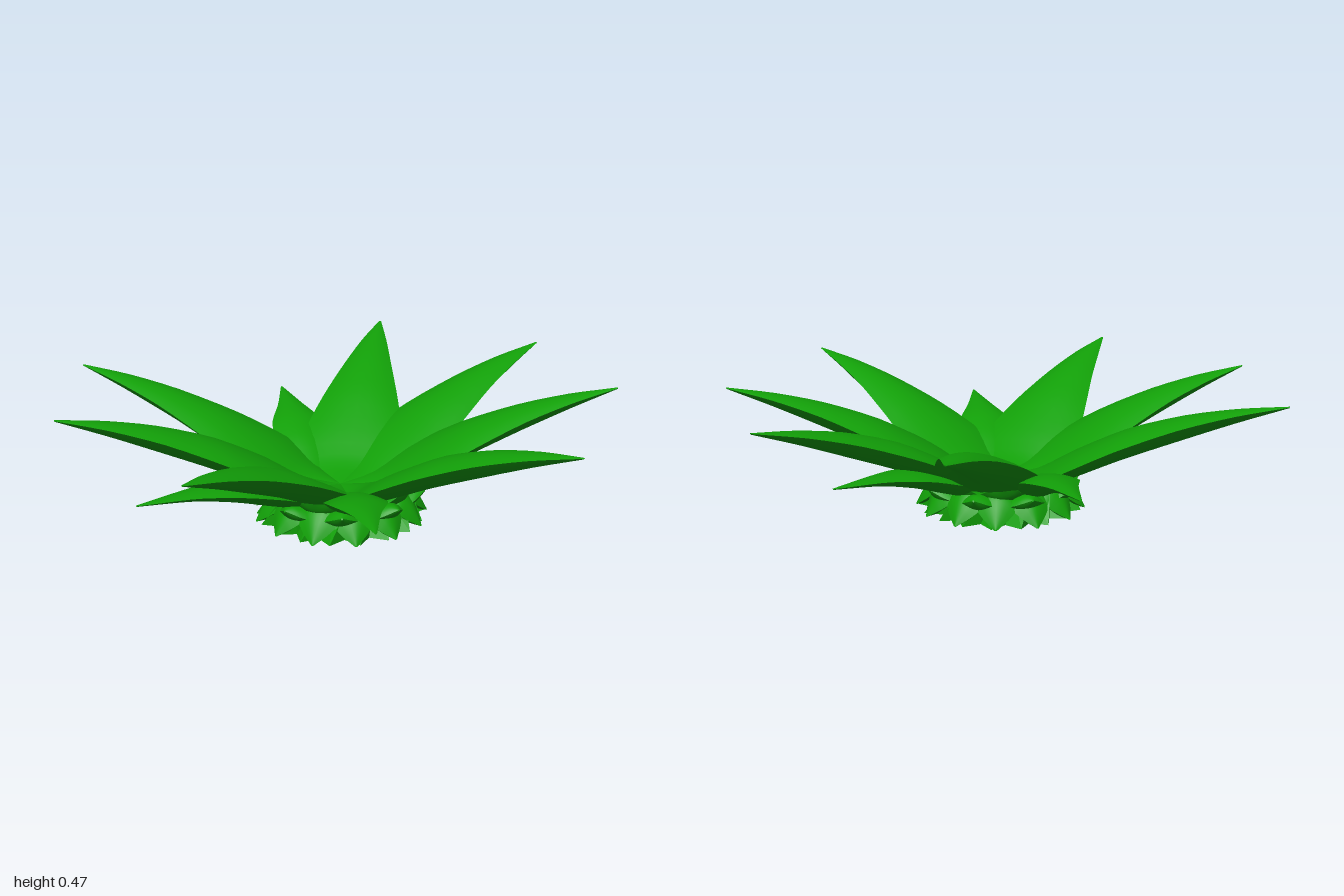
import * as THREE from 'three';

const green = new THREE.MeshStandardMaterial({ color: 0x12a008, side: THREE.DoubleSide });
const flatGreen = new THREE.MeshStandardMaterial({ color: 0x12a008, flatShading: true });

// Leaf along +x. Each station: [reach, half width, rim height, ridge height, keel height]
function leafGeometry(stations, steps = 18, across = 8) {
  const curve = (f) => new THREE.CatmullRomCurve3(stations.map(f), false, 'catmullrom', 0.4);
  const rim = curve((s) => new THREE.Vector3(s[0], s[1], s[2]));
  const spine = curve((s) => new THREE.Vector3(s[0], s[3], s[4]));
  const pos = [], index = [], row = across + 1;
  for (const under of [false, true]) {
    const start = pos.length / 3;
    for (let i = 0; i <= steps; i++) {
      const r = rim.getPoint(i / steps), s = spine.getPoint(i / steps);
      const mid = under ? s.z : s.y;
      for (let j = 0; j <= across; j++) {
        const u = (2 * j) / across - 1;
        pos.push(r.x, Math.max(0, mid + (r.z - mid) * u * u), r.y * u);
      }
    }
    for (let i = 0; i < steps; i++) {
      for (let j = 0; j < across; j++) {
        const a = start + i * row + j, b = a + 1, c = a + row, d = c + 1;
        if (under) index.push(a, c, b, b, c, d);
        else index.push(a, b, c, b, d, c);
      }
    }
  }
  const geo = new THREE.BufferGeometry();
  geo.setAttribute('position', new THREE.Float32BufferAttribute(pos, 3));
  geo.setIndex(index);
  geo.computeVertexNormals();
  return geo;
}

const LARGE = [
  [0, 0.005, 0.11, 0.112, 0.08], [0.13, 0.15, 0.115, 0.145, 0.08], [0.26, 0.196, 0.19, 0.225, 0.13],
  [0.45, 0.155, 0.29, 0.33, 0.225], [0.65, 0.1, 0.374, 0.402, 0.315],
  [0.83, 0.053, 0.43, 0.444, 0.395], [1, 0.005, 0.468, 0.47, 0.465],
];
const SMALL = [
  [0, 0.03, 0.07, 0.08, 0.04], [0.15, 0.08, 0.1, 0.125, 0.06], [0.3, 0.105, 0.165, 0.2, 0.115],
  [0.45, 0.1, 0.217, 0.242, 0.175], [0.6, 0.05, 0.243, 0.257, 0.22], [0.79, 0.004, 0.258, 0.26, 0.255],
];
const UPPER_STUB = [
  [0.14, 0.06, 0.07, 0.1, 0.04], [0.21, 0.1, 0.09, 0.13, 0.06],
  [0.265, 0.06, 0.13, 0.16, 0.1], [0.3, 0.004, 0.175, 0.178, 0.17],
];
const MIDDLE_STUB = [
  [0.16, 0.06, 0.05, 0.1, 0.03], [0.23, 0.09, 0.06, 0.11, 0.035],
  [0.28, 0.055, 0.08, 0.115, 0.06], [0.315, 0.004, 0.105, 0.108, 0.1],
];
const LOWER_STUB = [
  [0.18, 0.05, 0.09, 0.13, 0.06], [0.25, 0.08, 0.07, 0.115, 0.04],
  [0.29, 0.05, 0.035, 0.07, 0.01], [0.325, 0.004, 0, 0.005, 0],
];

export function createModel() {
  const model = new THREE.Group();
  model.name = 'succulentPlant';
  const plant = new THREE.Group();
  plant.name = 'rosette';
  plant.position.set(-0.018, 0, 0.075);
  model.add(plant);

  // Adds one leaf for each [angle in degrees, length scale, root x, root z]
  const addLeaves = (name, stations, list) => {
    const geo = leafGeometry(stations);
    for (const [deg, stretch = 1, x = 0, z = 0] of list) {
      const leaf = new THREE.Mesh(geo, green);
      leaf.name = name;
      leaf.rotation.y = THREE.MathUtils.degToRad(deg);
      leaf.scale.x = stretch;
      leaf.position.set(x, 0, z);
      plant.add(leaf);
    }
  };
  const ring = (count, offset) => Array.from({ length: count }, (_, i) => [offset + (i * 360) / count]);

  addLeaves('largeLeaf', LARGE,
    [[0, 1.02], [37.3, 1.065], [77.5, 1.06], [157.2, 1.065], [195, 1.02], [240, 1.02], [315, 1.02]]);
  addLeaves('smallLeaf', SMALL, [[44.8, 1.06], [99.8, 1, -0.076, 0.018], [275], [217.2, 1.1]]);
  addLeaves('upperStub', UPPER_STUB, ring(9, 8));
  addLeaves('middleStub', MIDDLE_STUB, ring(9, 28));
  addLeaves('lowerStub', LOWER_STUB, ring(13, 0));

  // Jagged, star-shaped base with points on every other corner
  const points = 18;
  const base = new THREE.CylinderGeometry(0.25, 0.3, 0.1, points * 2);
  const p = base.attributes.position;
  for (let i = 0; i < p.count; i++) {
    const x = p.getX(i), z = p.getZ(i);
    const corner = Math.round((Math.atan2(z, x) / Math.PI) * points);
    const k = Math.abs(corner % 2) === (p.getY(i) > 0 ? 1 : 0) ? 1.05 : 0.87;
    p.setX(i, x * k);
    p.setZ(i, z * k);
  }
  const core = new THREE.Mesh(base, flatGreen);
  core.name = 'base';
  core.position.y = 0.05;
  plant.add(core);
  return model;
}
